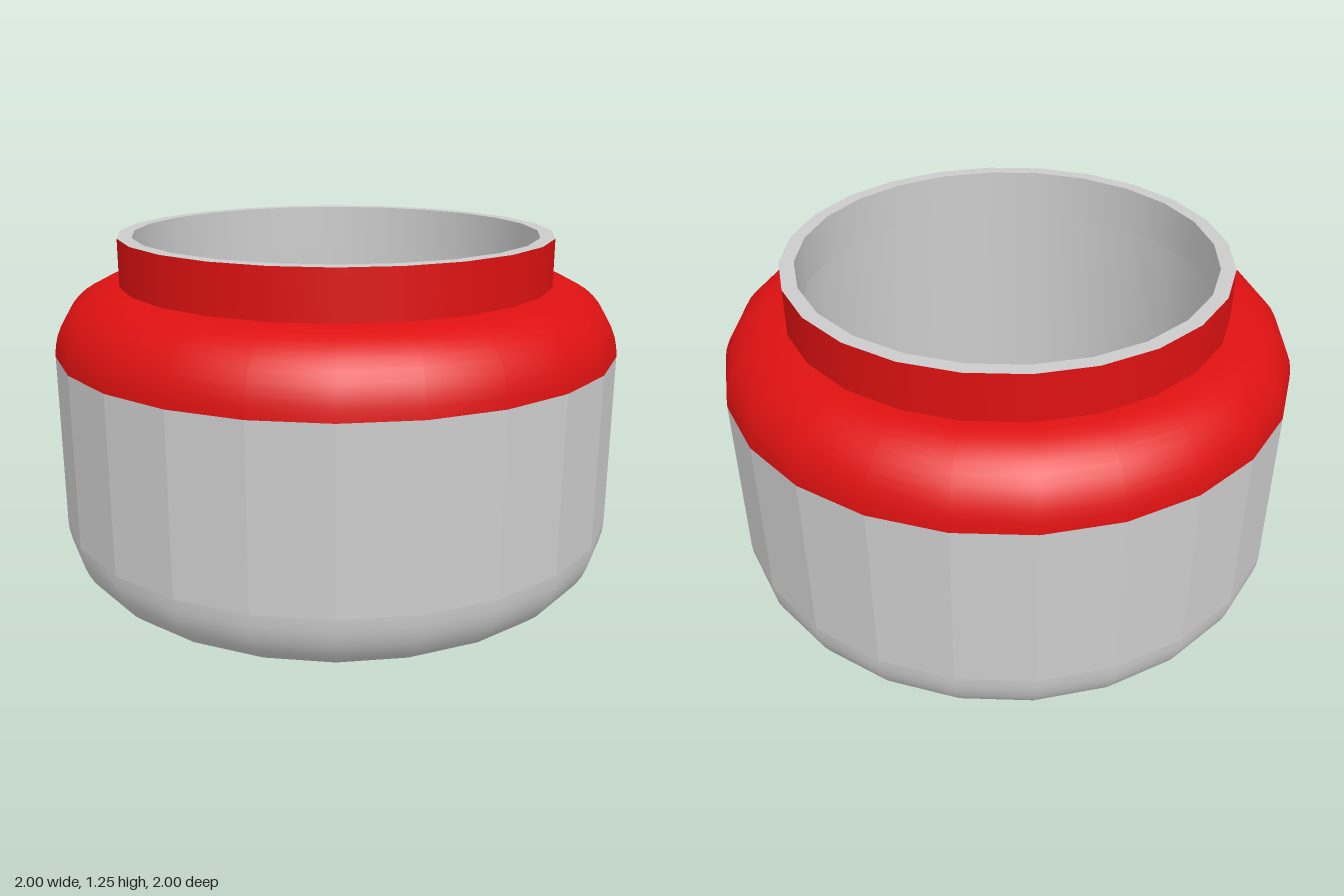
import * as THREE from 'three';

const SIDES = 24;
const TURN = -0.08;                       // slight rotation of the facets about y
const R_OUT = 1.003, R_IN = 0.773, R_NECK = 0.722;
const Y_BASE = 0.24, Y_WALL = 0.852, Y_SHOULDER = 1.085, Y_TOP = 1.252;

const grey = new THREE.MeshStandardMaterial({ color: 0xcccccc });
const greyFlat = new THREE.MeshStandardMaterial({ color: 0xcccccc, flatShading: true });
const greyThin = new THREE.MeshStandardMaterial({ color: 0xcccccc, side: THREE.DoubleSide });
const red = new THREE.MeshStandardMaterial({ color: 0xdd1111 });

// Revolve a profile of [radius, height] points; rising profiles face outward
function turned(name, profile, material) {
  const points = profile.map(([r, y]) => new THREE.Vector2(r, y));
  const mesh = new THREE.Mesh(new THREE.LatheGeometry(points, SIDES, TURN), material);
  mesh.name = name;
  return mesh;
}

// Quarter-round profile between the inner and outer radius
function quarterRound(yStart, height, from, to, steps = 10) {
  return Array.from({ length: steps + 1 }, (_, i) => {
    const a = from + (to - from) * i / steps;
    return [R_IN + (R_OUT - R_IN) * Math.cos(a), yStart + height * Math.sin(a)];
  });
}

export function createModel() {
  const model = new THREE.Group();
  model.name = 'ringHousing';

  // Hollow rounded base skirt and the flat ledge above it
  model.add(turned('baseRound', quarterRound(Y_BASE, Y_BASE, -Math.PI / 2, 0), greyThin));
  model.add(turned('bodyUnderside', [[R_IN, Y_BASE], [R_OUT, Y_BASE]], grey));

  // Faceted outer wall and the straight bore
  model.add(turned('outerWall', [[R_OUT, Y_BASE], [R_OUT, Y_WALL]], greyFlat));
  model.add(turned('bore', [[R_IN, Y_SHOULDER], [R_IN, Y_BASE]], grey));

  // Red rounded shoulder
  model.add(turned('shoulder', quarterRound(Y_WALL, Y_SHOULDER - Y_WALL, 0, Math.PI / 2), red));

  // Neck: red outside, grey rim and inside
  const neck = new THREE.Group();
  neck.name = 'neck';
  neck.add(
    turned('neckOutside', [[R_IN, Y_SHOULDER], [R_IN, Y_TOP]], red),
    turned('neckRim', [[R_IN, Y_TOP], [R_NECK, Y_TOP]], grey),
    turned('neckInside', [[R_NECK, Y_TOP], [R_NECK, Y_SHOULDER]], grey),
    turned('neckUnderside', [[R_NECK, Y_SHOULDER], [R_IN, Y_SHOULDER]], grey),
  );
  model.add(neck);

  return model;
}
